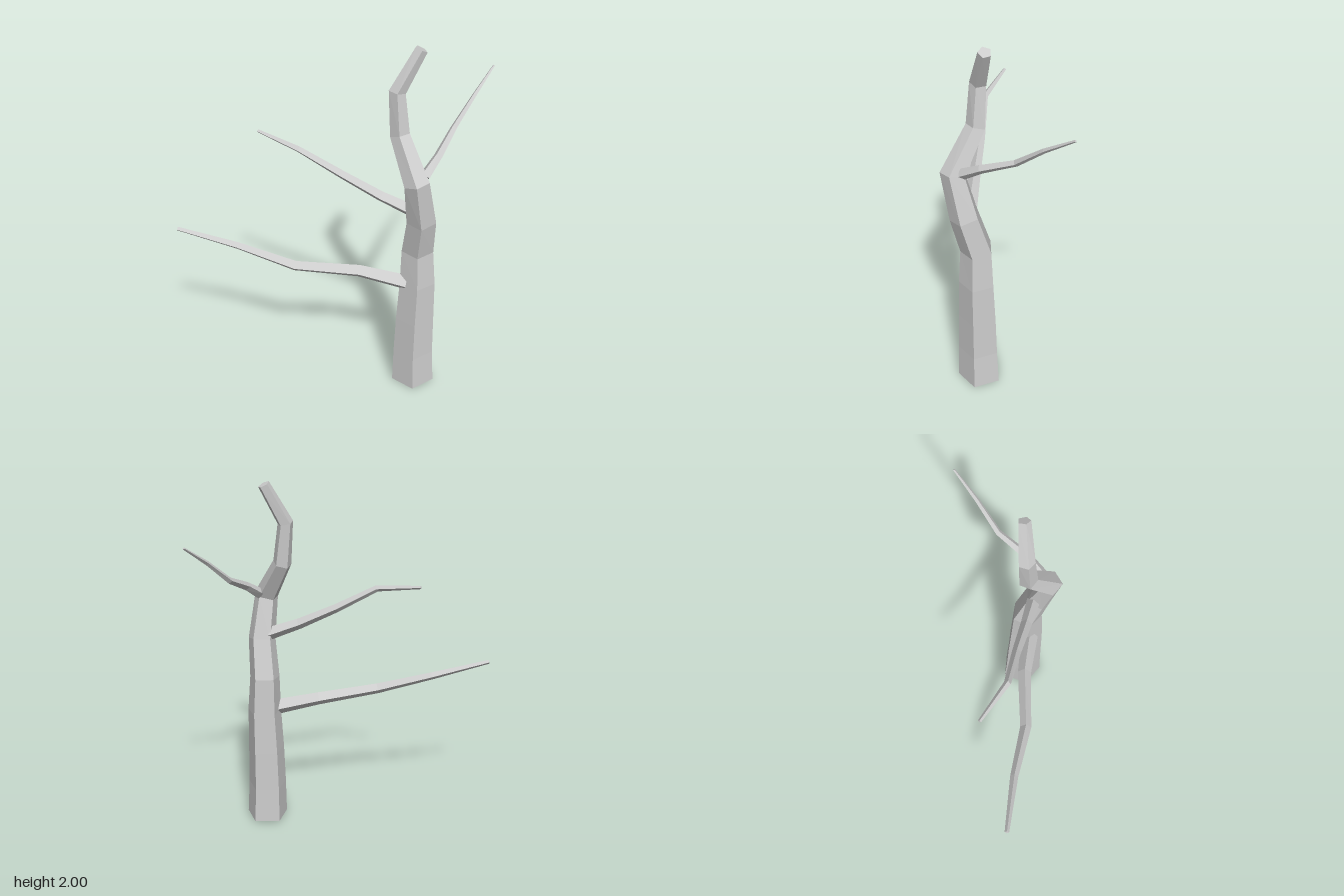
import * as THREE from 'three';

const material = new THREE.MeshStandardMaterial({ color: 0xcccccc, flatShading: true });

// Tapered faceted limb. Each node is [x, y, z, radius]; rings sit square to the bend.
function limb(name, nodes, sides, startAngle, ref) {
  const centres = nodes.map(([x, y, z]) => new THREE.Vector3(x, y, z));
  const last = nodes.length - 1;
  const positions = [];
  const index = [];
  centres.forEach((c, k) => {
    const t = new THREE.Vector3();
    if (k > 0) t.add(c.clone().sub(centres[k - 1]).normalize());
    if (k < last) t.add(centres[k + 1].clone().sub(c).normalize());
    t.normalize();
    const v = ref.clone().addScaledVector(t, -ref.dot(t)).normalize();
    const u = new THREE.Vector3().crossVectors(t, v);
    for (let i = 0; i < sides; i++) {
      const a = startAngle + (i / sides) * Math.PI * 2;
      const p = c.clone()
        .addScaledVector(u, Math.cos(a) * nodes[k][3])
        .addScaledVector(v, Math.sin(a) * nodes[k][3]);
      positions.push(p.x, p.y, p.z);
    }
  });
  // side faces
  for (let k = 0; k < last; k++) {
    for (let i = 0; i < sides; i++) {
      const j = (i + 1) % sides;
      const a = k * sides + i, d = k * sides + j;
      index.push(a, a + sides, d + sides, a, d + sides, d);
    }
  }
  // end caps
  const top = last * sides;
  for (let i = 1; i < sides - 1; i++) {
    index.push(0, i, i + 1, top, top + i + 1, top + i);
  }
  const geometry = new THREE.BufferGeometry();
  geometry.setAttribute('position', new THREE.Float32BufferAttribute(positions, 3));
  geometry.setIndex(index);
  const flat = geometry.toNonIndexed();
  flat.computeVertexNormals();
  const mesh = new THREE.Mesh(flat, material);
  mesh.name = name;
  return mesh;
}

export function createModel() {
  const tree = new THREE.Group();
  tree.name = 'bareTree';
  const Y = new THREE.Vector3(0, 1, 0);
  const Z = new THREE.Vector3(0, 0, 1);

  // five-sided crooked trunk
  tree.add(limb('trunk', [
    [0.498, 0.005, 0.128, 0.121],
    [0.492, 0.21, 0.13, 0.113],
    [0.492, 0.44, 0.13, 0.107],
    [0.495, 0.68, 0.131, 0.098],
    [0.487, 0.885, 0.13, 0.087],
    [0.506, 1.1, 0.183, 0.079],
    [0.482, 1.34, 0.237, 0.067],
    [0.371, 1.55, 0.137, 0.052],
    [0.346, 1.775, 0.125, 0.044],
    [0.447, 1.985, 0.078, 0.033],
  ], 5, THREE.MathUtils.degToRad(8), Z));

  // four-sided branches
  const branches = {
    lowerBranch: [
      [0.44, 0.685, 0.17, 0.047],
      [0.19, 0.738, 0.2, 0.038],
      [-0.14, 0.778, 0.29, 0.031],
      [-0.45, 0.865, 0.302, 0.022],
      [-0.77, 0.95, 0.343, 0.012],
    ],
    middleBranch: [
      [0.46, 1.135, 0.165, 0.037],
      [0.29, 1.2, 0.165, 0.03],
      [0.08, 1.3, 0.162, 0.024],
      [-0.14, 1.418, 0.168, 0.018],
      [-0.38, 1.455, 0.09, 0.009],
    ],
    upperBranch: [
      [0.51, 1.36, 0.19, 0.03],
      [0.56, 1.43, 0.09, 0.023],
      [0.61, 1.51, -0.08, 0.017],
      [0.69, 1.64, -0.215, 0.012],
      [0.765, 1.75, -0.355, 0.006],
    ],
  };
  for (const [name, nodes] of Object.entries(branches)) {
    tree.add(limb(name, nodes, 4, 0, Y));
  }
  return tree;
}
